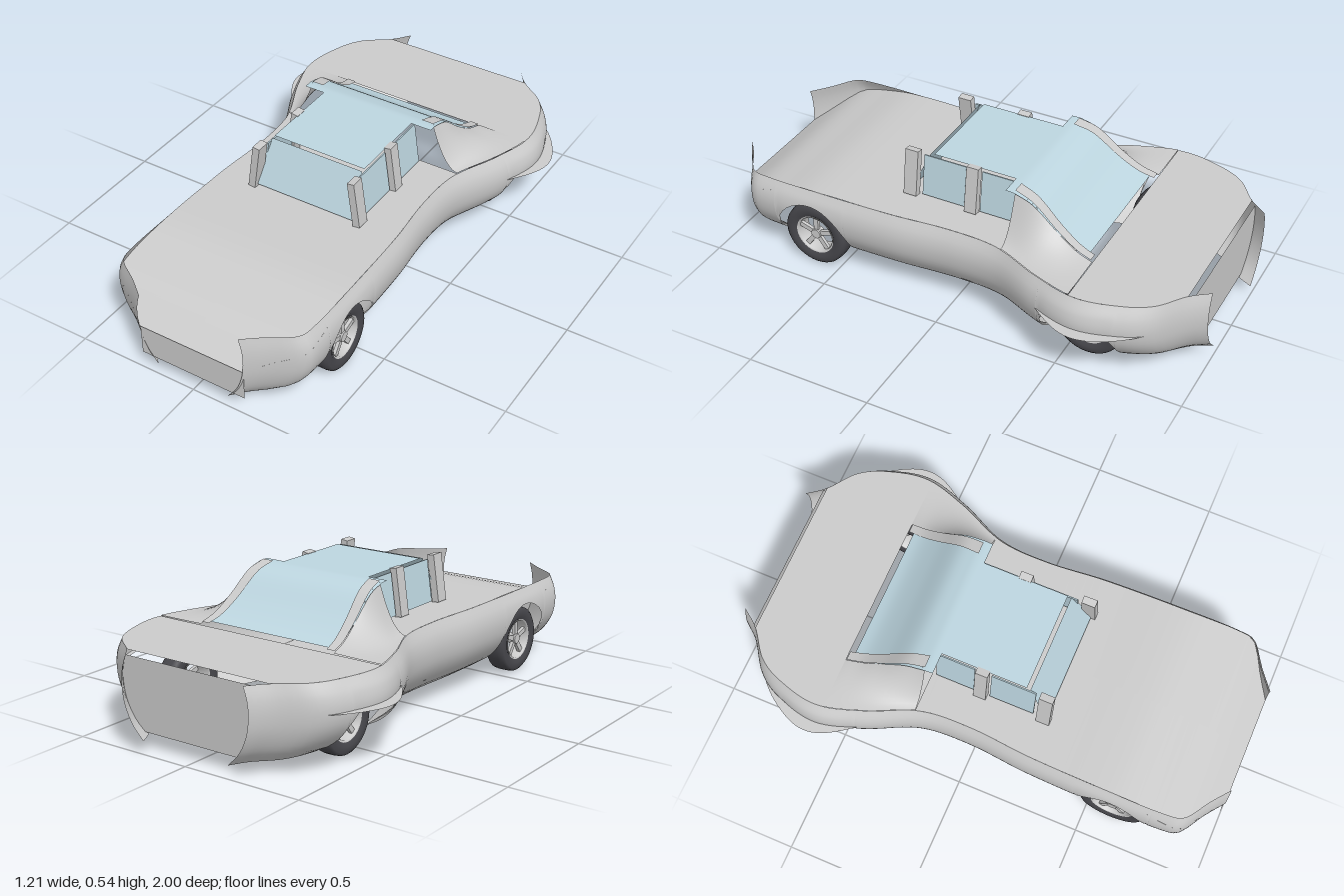
import * as THREE from 'three';

const grey = new THREE.MeshStandardMaterial({ color: 0xcccccc, side: THREE.DoubleSide });
const glass = new THREE.MeshStandardMaterial({ color: 0xbdd6e0, side: THREE.DoubleSide });
const rubber = new THREE.MeshStandardMaterial({ color: 0x47474c, side: THREE.DoubleSide });

// Smooth function through [input, output] points, input ascending
function curve(pts) {
  const n = pts.length - 1;
  const slope = (i) => {
    const a = pts[Math.max(i - 1, 0)], b = pts[Math.min(i + 1, n)];
    return (b[1] - a[1]) / (b[0] - a[0]);
  };
  return (t) => {
    t = Math.min(Math.max(t, pts[0][0]), pts[n][0]);
    let i = 0;
    while (i < n - 1 && t > pts[i + 1][0]) i++;
    const h = pts[i + 1][0] - pts[i][0], u = (t - pts[i][0]) / h;
    const u2 = u * u, u3 = u2 * u;
    return (2 * u3 - 3 * u2 + 1) * pts[i][1] + (u3 - 2 * u2 + u) * h * slope(i)
      + (3 * u2 - 2 * u3) * pts[i + 1][1] + (u3 - u2) * h * slope(i + 1);
  };
}

// Surface from a function of column and row giving [x, y, z]
function surface(cols, rows, fn) {
  const pos = [], index = [];
  for (let i = 0; i <= cols; i++) for (let j = 0; j <= rows; j++) pos.push(...fn(i, j));
  for (let i = 0; i < cols; i++) {
    for (let j = 0; j < rows; j++) {
      const a = i * (rows + 1) + j, b = a + rows + 1;
      index.push(a, b, a + 1, b, b + 1, a + 1);
    }
  }
  const g = new THREE.BufferGeometry();
  g.setAttribute('position', new THREE.Float32BufferAttribute(pos, 3));
  g.setIndex(index);
  g.computeVertexNormals();
  return g;
}

const lerp = THREE.MathUtils.lerp;
const TOP = 0.35, FLOOR = 0.05;
// Half width along the car, its share by height, bonnet height, fastback height
const halfWidth = curve([[-1, 0.29], [-0.93, 0.35], [-0.85, 0.46], [-0.75, 0.52], [-0.58, 0.557],
  [-0.4, 0.505], [-0.2, 0.415], [0, 0.4], [0.25, 0.42], [0.6, 0.428], [0.82, 0.425], [0.88, 0.405], [0.94, 0.31], [1, 0.228]]);
const bulge = curve([[0.05, 0.67], [0.1, 0.84], [0.17, 0.96], [0.24, 1], [0.3, 0.985], [0.35, 0.93]]);
const bonnetY = curve([[-1, TOP], [0.35, TOP], [0.6, 0.347], [0.75, 0.315], [0.87, 0.28], [1, 0.2]]);
const fastbackY = curve([[-0.55, 0.355], [-0.48, 0.378], [-0.4, 0.43], [-0.3, 0.51], [-0.22, 0.537]]);
const wallX = (z, y) => halfWidth(z) * bulge(y);

const arches = [{ z: 0.6, r: 0.155, cap: 0.3 }, { z: -0.58, r: 0.155, cap: 0.24 }];
function lowerEdge(z) {
  for (const a of arches) {
    const d = Math.abs(z - a.z);
    if (d < a.r) return Math.min(a.cap, 0.135 + Math.sqrt(a.r * a.r - d * d));
  }
  return FLOOR;
}

export function createModel() {
  const car = new THREE.Group();
  const add = (name, geometry, material = grey, parent = car) => {
    const m = new THREE.Mesh(geometry, material);
    m.name = name;
    parent.add(m);
    return m;
  };

  // Body side columns, with doubled columns at the arch edges
  const zs = [];
  for (let i = 0; i <= 100; i++) zs.push(-1 + i * 0.02);
  for (const a of arches) for (const s of [-1, 1]) zs.push(a.z + s * (a.r - 1e-4), a.z + s * (a.r + 1e-4));
  zs.sort((a, b) => a - b);

  for (const s of [-1, 1]) {
    const side = s > 0 ? 'left' : 'right';
    add(side + 'BodySide', surface(zs.length - 1, 16, (i, j) => {
      const y = lerp(lowerEdge(zs[i]), TOP, j / 16);
      return [s * wallX(zs[i], y), y, zs[i]];
    }));

    // Haunch sweeping from the shoulder up to the roof
    add(side + 'SailPanel', surface(18, 10, (i, j) => {
      const z = lerp(-0.55, -0.22, i / 18), t = j / 10;
      const inner = lerp(0.31, 0.275, i / 18);
      return [s * lerp(inner, wallX(z, TOP), t), TOP + 0.003 + (fastbackY(z) - TOP - 0.003) * (1 - t) ** 2, z];
    }));
    add(side + 'RearPillar', surface(18, 1, (i, j) => {
      const z = lerp(-0.545, -0.22, i / 18), k = i / 18;
      return [s * (lerp(0.275, 0.225, k) + j * lerp(0.035, 0.05, k)), fastbackY(z) + 0.006, z];
    }));

    // Upright pillars and side windows, leaning inwards
    for (const [name, z, depth] of [['FrontPillar', 0.245, 0.055], ['MiddlePillar', -0.015, 0.05]]) {
      const p = add(side + name, new THREE.BoxGeometry(0.03, 0.19, depth), grey);
      p.position.set(s * 0.222, 0.447, z);
      p.rotation.z = s * 0.14;
    }
    for (const [name, z, width] of [['FrontWindow', 0.11, 0.18], ['RearDoorWindow', -0.125, 0.155]]) {
      const w = add(side + name, new THREE.BoxGeometry(0.006, 0.168, width), glass);
      w.position.set(s * 0.215, 0.443, z);
      w.rotation.z = s * 0.14;
    }

    // Flat lip above the rear wheel
    add(side + 'RearArchLip', surface(24, 1, (i, j) => {
      const z = lerp(-0.83, -0.42, i / 24), x = wallX(z, 0.24);
      return [s * (x - 0.02 + j * (0.02 + 0.047 * Math.sin(Math.PI * i / 24))), 0.24, z];
    }));
  }

  // Decks between the body sides
  const deck = (name, z0, z1) => add(name, surface(40, 2, (i, j) => {
    const z = lerp(z0, z1, i / 40), y = bonnetY(z);
    return [(j - 1) * wallX(z, y), y, z];
  }));
  deck('bonnet', -0.22, 1);
  deck('rearDeck', -0.93, -0.55);

  // End panels and floor
  const endPanel = (name, z, y0, y1) => add(name, surface(12, 2, (i, j) => {
    const y = lerp(y0, y1, i / 12);
    return [(j - 1) * wallX(z, y), y, z];
  }));
  endPanel('rearPanel', -0.945, 0.06, 0.335);
  const nose = add('frontPanel', new THREE.PlaneGeometry(0.45, 0.13), grey);
  nose.position.set(0, 0.135, 0.995);
  const floor = add('floor', new THREE.BoxGeometry(0.71, 0.006, 0.58));
  floor.position.set(0, 0.125, -0.06);

  // Cabin glass
  add('windscreen', surface(1, 1, (i, j) => [(2 * i - 1) * lerp(0.235, 0.2, j), lerp(0.36, 0.535, j), lerp(0.255, 0.175, j)]), glass);
  add('roofGlass', surface(1, 1, (i, j) => [(2 * i - 1) * 0.2, 0.537, lerp(-0.2, 0.16, j)]), glass);
  add('rearWindow', surface(18, 1, (i, j) => {
    const z = lerp(-0.525, -0.185, i / 18);
    return [(2 * j - 1) * lerp(0.3, 0.285, i / 18), fastbackY(z), z];
  }), glass);

  // Wheels: tyre, open rim, five spokes and hub
  const ring = (pts) => new THREE.LatheGeometry(pts.map(([r, x]) => new THREE.Vector2(r, x)), 40).rotateZ(-Math.PI / 2);
  const tyre = ring([[0.083, -0.035], [0.1, -0.043], [0.122, -0.042], [0.132, -0.034], [0.135, -0.015],
    [0.135, 0.015], [0.132, 0.034], [0.122, 0.042], [0.1, 0.043], [0.083, 0.035]]);
  const rim = ring([[0.084, -0.037], [0.077, -0.035], [0.073, 0], [0.077, 0.035], [0.084, 0.037]]);
  const hub = new THREE.CylinderGeometry(0.02, 0.024, 0.03, 20).rotateZ(-Math.PI / 2);
  const spoke = new THREE.BoxGeometry(0.014, 0.062, 0.02).translate(0, 0.046, 0);
  for (const a of arches) {
    for (const s of [-1, 1]) {
      const wheel = new THREE.Group();
      wheel.name = (a.z > 0 ? 'front' : 'rear') + (s > 0 ? 'Left' : 'Right') + 'Wheel';
      add('tyre', tyre, rubber, wheel);
      add('rim', rim, grey, wheel);
      add('hub', hub, grey, wheel).position.x = 0.018;
      for (let k = 0; k < 5; k++) {
        const sp = add('spoke', spoke, grey, wheel);
        sp.position.x = 0.02;
        sp.rotation.x = k * Math.PI * 2 / 5;
      }
      wheel.position.set(s * 0.357, 0.135, a.z);
      if (s < 0) wheel.rotation.y = Math.PI;
      car.add(wheel);
    }
  }
  return car;
}
